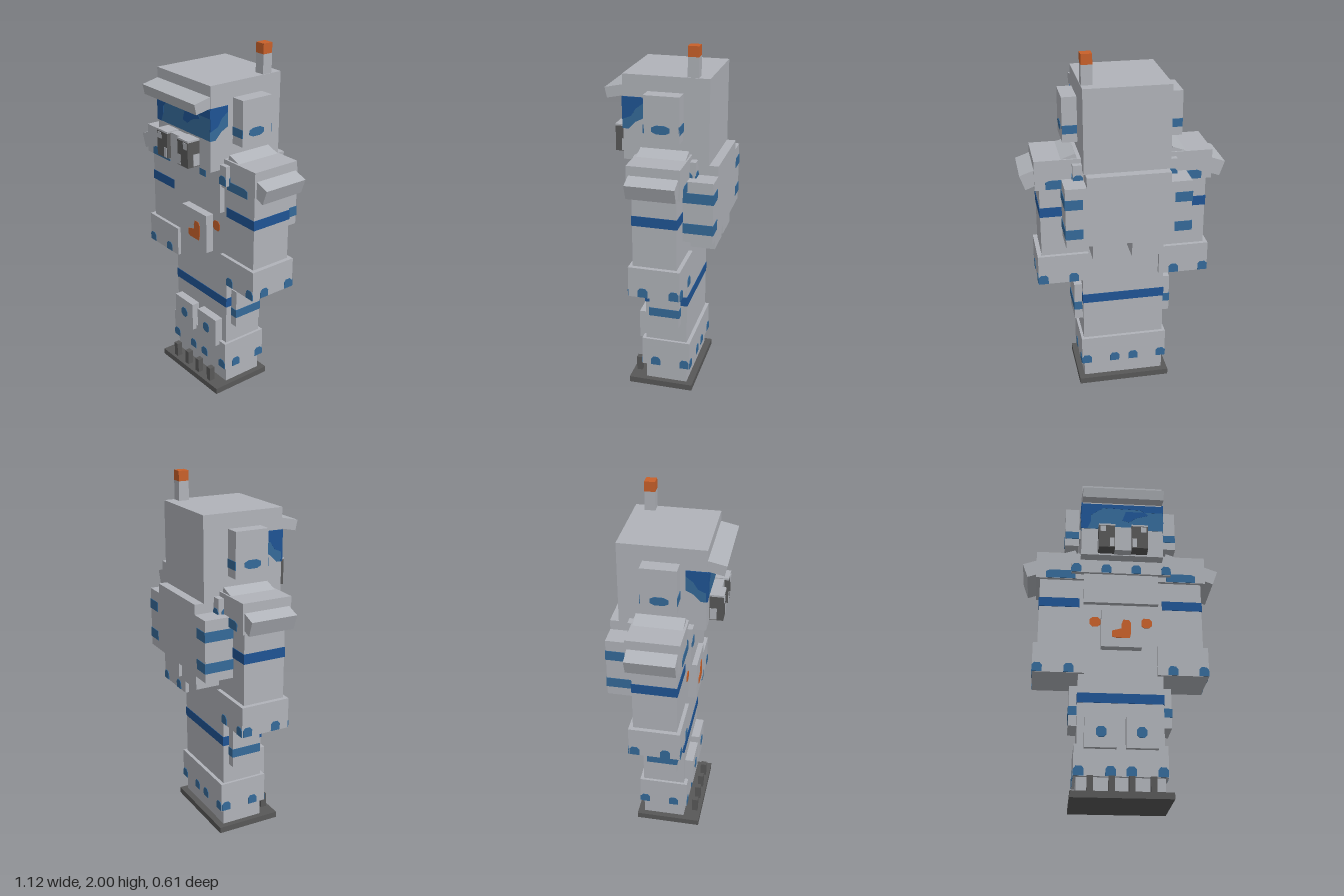
import * as THREE from 'three';

export function createModel() {
  const material = (name, color) => {
    const m = new THREE.MeshStandardMaterial({ color });
    m.name = name;
    return m;
  };
  const grey = material('armourGrey', 0xb0b3b9);
  const navy = material('deepBlue', 0x1f5494);
  const blue = material('midBlue', 0x356a99);
  const orange = material('signalOrange', 0xc8602a);
  const dark = material('darkMetal', 0x585858);

  const model = new THREE.Group();
  model.name = 'armouredFigure';
  const body = new THREE.Group();
  body.name = 'body';
  body.position.x = -0.003;
  model.add(body);

  const add = (name, geometry, mat, x = 0, y = 0, z = 0) => {
    const mesh = new THREE.Mesh(geometry, mat);
    mesh.name = name;
    mesh.position.set(x, y, z);
    body.add(mesh);
    return mesh;
  };
  // Box given by its limits on each axis
  const box = (name, mat, x0, x1, y0, y1, z0, z1) =>
    add(name, new THREE.BoxGeometry(x1 - x0, y1 - y0, z1 - z0), mat,
      (x0 + x1) / 2, (y0 + y1) / 2, (z0 + z1) / 2);
  // Box repeated on both sides, limits given for the left side
  const pair = (name, mat, x0, x1, ...rest) => {
    box(name + 'Left', mat, x0, x1, ...rest);
    box(name + 'Right', mat, -x1, -x0, ...rest);
  };
  // Painted band just proud of a box
  const e = 0.003;
  const band = (name, mat, x0, x1, y0, y1, z0, z1) =>
    pair(name, mat, x0 - e, x1 + e, y0, y1, z0 - e, z1 + e);
  // Thin painted plate from an outline; side plates take (z, y) points
  const plate = (name, mat, points, x, y, z, side = false, thick = 0.006) => {
    const shape = new THREE.Shape(points.map(p => new THREE.Vector2(...p)));
    const g = new THREE.ExtrudeGeometry(shape, { depth: thick, bevelEnabled: false });
    g.translate(0, 0, -thick / 2);
    if (side) g.rotateY(-Math.PI / 2);
    return add(name, g, mat, x, y, z);
  };
  const arch = [[-0.027, 0], [0.027, 0], [0.027, 0.037], [0.014, 0.052], [-0.014, 0.052], [-0.027, 0.037]];
  const blob = (rx, ry) => [[-rx, -ry / 2], [-rx / 2, -ry], [rx / 2, -ry], [rx, -ry / 2],
    [rx, ry / 2], [rx / 2, ry], [-rx / 2, ry], [-rx, ry / 2]];

  // Base and toe claws
  box('basePlate', dark, -0.265, 0.265, 0, 0.035, -0.178, 0.195);
  for (const x of [-0.163, -0.052, 0.052, 0.163])
    box('toeClaw', dark, x - 0.016, x + 0.016, 0.035, 0.12, 0.143, 0.176);

  // Legs, belt and ankle cuff
  box('legs', grey, -0.2325, 0.2325, 0.035, 0.7, -0.14, 0.1);
  box('belt', navy, -0.2325 - e, 0.2325 + e, 0.535, 0.59, -0.14 - e, 0.1 + e);
  box('ankleCuff', grey, -0.248, 0.248, 0.13, 0.3, -0.16, 0.12);
  for (const z of [-0.16, 0.12])
    for (const x of [-0.22, -0.055, 0.055, 0.22]) plate('ankleStud', blue, arch, x, 0.132, z);

  // Knee pads and thigh pouches
  pair('kneePad', grey, 0.025, 0.195, 0.275, 0.445, 0.1, 0.148);
  for (const x of [-0.107, 0.107]) plate('kneeStud', blue, blob(0.027, 0.029), x, 0.36, 0.148);
  pair('thighPouch', grey, 0.2325, 0.278, 0.415, 0.64, -0.105, 0.065);
  band('pouchStripe', blue, 0.238, 0.278, 0.475, 0.525, -0.105, 0.065);

  // Torso with chest plate and control box
  box('torso', grey, -0.2325, 0.2325, 0.7, 1.38, -0.14, 0.1);
  box('chestPlate', grey, -0.21, 0.21, 1.12, 1.32, 0.1, 0.13);
  box('controlBox', grey, -0.112, 0.112, 0.845, 1.07, 0.1, 0.148);
  plate('controlLight', orange, [[-0.053, 0.905], [-0.03, 0.898], [0.045, 0.898], [0.053, 0.93],
    [0.053, 0.99], [0.04, 1.008], [0.01, 1.008], [0, 0.98], [0, 0.955], [-0.053, 0.94]], 0, 0, 0.148);
  for (const s of [-1, 1]) plate('chestLight', orange, blob(0.03, 0.029), s * 0.144, 1.013, 0.1);

  // Collar
  box('collar', grey, -0.282, 0.282, 1.3, 1.41, -0.195, 0.147);
  for (const x of [-0.255, -0.085, 0.085, 0.255]) {
    plate('collarStud', blue, arch, x, 1.302, 0.147);
    plate('collarStud', blue, arch, x, 1.302, -0.195);
  }
  for (const s of [-1, 1])
    for (const z of [-0.15, 0.1]) plate('collarSideStud', blue, arch, s * 0.282, 1.302, z, true);

  // Arms, shoulders and gauntlets
  pair('arm', grey, 0.2325, 0.458, 0.72, 1.4, -0.14, 0.1);
  band('armStripe', navy, 0.2325 + e, 0.458, 1.1, 1.155, -0.14, 0.1);
  pair('shoulder', grey, 0.2, 0.482, 1.27, 1.435, -0.163, 0.12);
  pair('gauntlet', grey, 0.2, 0.482, 0.697, 0.868, -0.162, 0.12);
  for (const s of [-1, 1]) {
    const slab = add('shoulderSlab', new THREE.BoxGeometry(0.315, 0.086, 0.262), grey, s * 0.396, 1.369, -0.023);
    slab.rotation.z = -s * 0.343;
    for (const z of [-0.163, 0.12]) {
      plate('shoulderMark', blue, [[-0.083, 0], [0.083, 0], [0.083, 0.04], [0.06, 0.05],
        [-0.06, 0.05], [-0.083, 0.04]], s * 0.342, 1.272, z);
      for (const x of [0.285, 0.455]) plate('gauntletStud', blue, arch, s * x, 0.699, z);
    }
    for (const z of [-0.13, 0.04]) {
      plate('gauntletSideStud', blue, arch, s * 0.482, 0.699, z, true);
      plate('ankleSideStud', blue, arch, s * 0.248, 0.132, z, true);
    }
  }

  // Backpack with side tanks and thrusters
  box('backpack', grey, -0.225, 0.225, 0.985, 1.38, -0.303, -0.14);
  pair('sideTank', grey, 0.225, 0.34, 0.985, 1.325, -0.303, -0.14);
  for (const y of [1.035, 1.207]) band('tankStripe', blue, 0.25, 0.34, y, y + 0.056, -0.303, -0.14);
  pair('thruster', grey, 0.02, 0.195, 0.89, 0.985, -0.285, -0.148);
  pair('thrusterSlot', dark, 0.08, 0.135, 0.887, 0.893, -0.232, -0.202);

  // Head and tilted brim
  box('head', grey, -0.2325, 0.2325, 1.38, 1.84, -0.253, 0.21);
  const brim = add('brim', new THREE.BoxGeometry(0.462, 0.057, 0.12), grey, 0, 1.747, 0.243);
  brim.rotation.x = 0.21;

  // Visor with darker reflections
  plate('visorFront', blue, [[-0.235, 1.55], [0.235, 1.55], [0.235, 1.71], [-0.235, 1.71]], 0, 0, 0.21);
  const reflections = [
    [[-0.236, 1.55], [-0.2, 1.55], [-0.18, 1.6], [-0.18, 1.64], [-0.11, 1.69], [0.1, 1.685],
      [0.13, 1.67], [0.236, 1.67], [0.236, 1.715], [-0.236, 1.715]],
    [[0, 1.61], [0.04, 1.6], [0.08, 1.63], [0.15, 1.65], [0.13, 1.67], [0.02, 1.67]],
  ];
  for (const r of reflections) plate('visorReflection', navy, r, 0, 0, 0.21, false, 0.009);
  for (const s of [-1, 1]) {
    plate('visorSide', blue, [[0.212, 1.55], [0.212, 1.72], [0.1, 1.72], [0.1, 1.61], [0.14, 1.59], [0.18, 1.55]],
      s * 0.2325, 0, 0, true);
    plate('visorSideReflection', navy, [[0.213, 1.6], [0.213, 1.722], [0.1, 1.722], [0.1, 1.69],
      [0.14, 1.66], [0.165, 1.62]], s * 0.2325, 0, 0, true, 0.009);
  }

  // Ear pods
  pair('earMount', grey, 0.23, 0.25, 1.6, 1.66, -0.05, 0.01);
  pair('earPod', grey, 0.243, 0.323, 1.513, 1.76, -0.117, 0.073);
  for (const s of [-1, 1]) {
    plate('earMark', blue, blob(0.048, 0.023), s * 0.323, 1.583, -0.018, true);
    for (const z of [-0.117, 0.073])
      box('earStripe', blue, s * 0.283 - 0.04, s * 0.283 + 0.04, 1.56, 1.606, z - e, z + e);
  }

  // Breathing filters
  pair('filter', dark, 0.047, 0.138, 1.39, 1.535, 0.21, 0.285);
  pair('filterCap', grey, 0.046, 0.139, 1.53, 1.54, 0.21, 0.286);
  pair('filterVentUpper', grey, 0.1, 0.13, 1.49, 1.525, 0.282, 0.288);
  pair('filterVentLower', grey, 0.05, 0.075, 1.395, 1.45, 0.282, 0.288);
  pair('filterSidePanel', grey, 0.135, 0.141, 1.395, 1.46, 0.212, 0.25);
  box('mouthpiece', grey, -0.047, 0.047, 1.385, 1.535, 0.21, 0.262);

  // Antenna
  box('antenna', grey, 0.17, 0.229, 1.84, 1.945, -0.193, -0.135);
  box('antennaTip', orange, 0.17, 0.229, 1.945, 2, -0.193, -0.135);

  return model;
}
